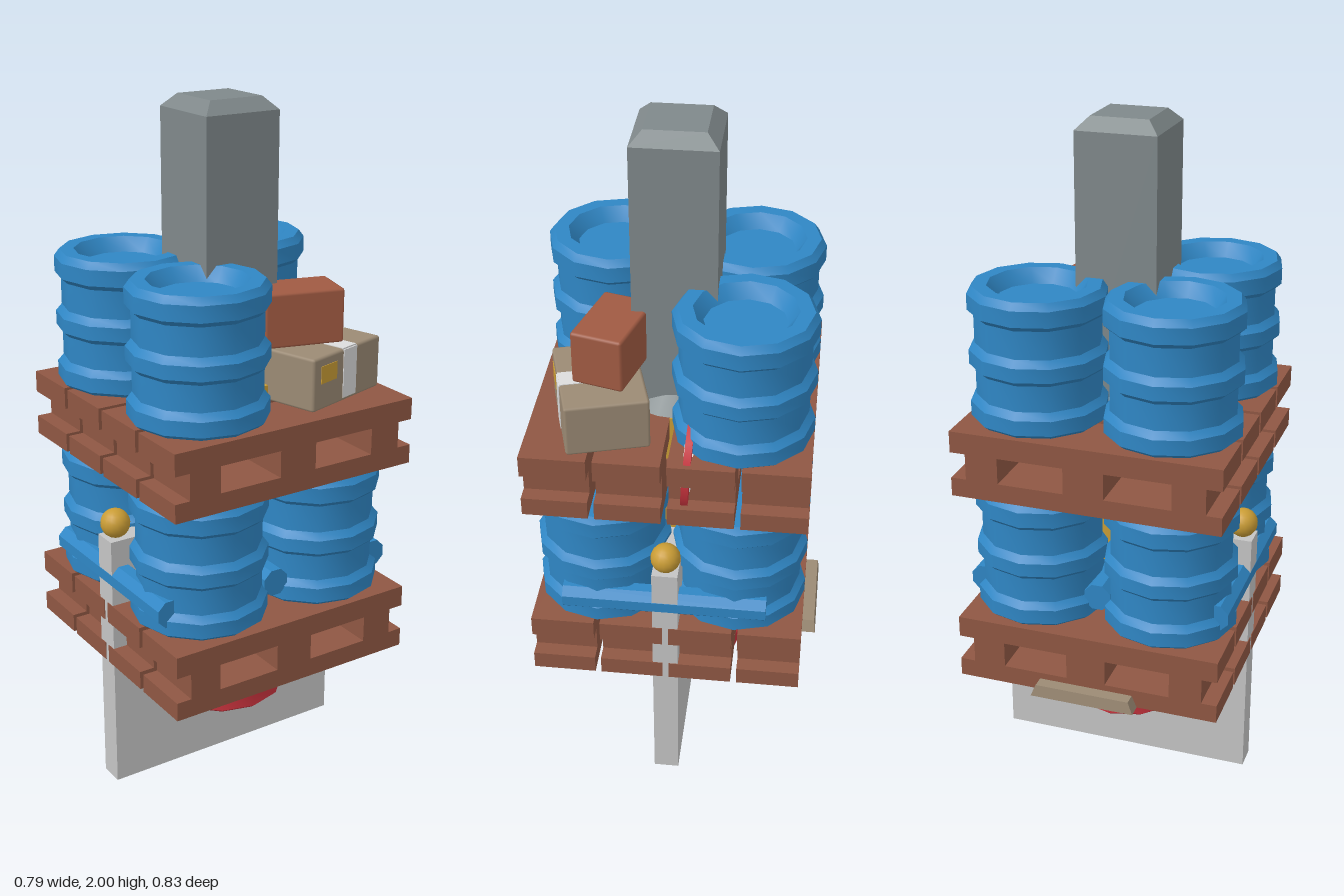
import * as THREE from 'three';
import { toCreasedNormals } from 'three/addons/utils/BufferGeometryUtils.js';
import { RoundedBoxGeometry } from 'three/addons/geometries/RoundedBoxGeometry.js';

const mat = (name, color) => {
  const m = new THREE.MeshStandardMaterial({ color });
  m.name = name;
  return m;
};

export function createModel() {
  const model = new THREE.Group();
  model.name = 'stackedPallets';
  const blue = mat('drum blue', 0x2f86c4);
  const wood = mat('pallet brown', 0x8f5743);
  const grey = mat('post grey', 0x7f888a);
  const pale = mat('panel pale grey', 0xc4c4c4);
  const red = mat('red', 0xc9333d);
  const yellow = mat('yellow', 0xc99c35);
  const taupe = mat('cardboard taupe', 0x9b8a74);
  const rust = mat('box rust', 0xa05a42);
  const white = mat('white', 0xdcdcdc);

  const MID = 0.018; // shared centre line in z
  const add = (name, geo, material, x, y, z, parent = model) => {
    const m = new THREE.Mesh(geo, material);
    m.name = name;
    m.position.set(x, y, z);
    parent.add(m);
    return m;
  };

  // Drums: twelve sides, three raised rings and a recessed lid
  const profile = [
    [0, 0], [0.18, 0], [0.195, 0.012], [0.195, 0.055], [0.178, 0.075],
    [0.178, 0.15], [0.195, 0.165], [0.195, 0.205], [0.178, 0.225],
    [0.178, 0.305], [0.195, 0.32], [0.195, 0.365], [0.18, 0.385],
    [0.14, 0.385], [0.112, 0.345], [0, 0.345],
  ].map(([r, y]) => new THREE.Vector2(r, y));
  const drumGeo = toCreasedNormals(new THREE.LatheGeometry(profile, 12), 0.6);
  for (const x of [-0.195, 0.195]) {
    for (const z of [-0.18, 0.215]) {
      add('lowerDrum', drumGeo, blue, x, 0.595, z);
      if (x < 0 || z < 0) add('upperDrum', drumGeo, blue, x, 1.182, z);
    }
  }
  add('redDrum', drumGeo, red, 0, 0.2, MID);

  // Pallets: four planks each, with fork holes and notched ends
  const outline = new THREE.Shape([
    [-0.39, 0], [0.39, 0], [0.39, 0.055], [0.345, 0.055], [0.345, 0.132], [0.39, 0.132],
    [0.39, 0.195], [-0.39, 0.195], [-0.39, 0.132], [-0.345, 0.132], [-0.345, 0.055], [-0.39, 0.055],
  ].map(([x, y]) => new THREE.Vector2(x, y)));
  for (const s of [-1, 1]) {
    outline.holes.push(new THREE.Path(
      [[0.058, 0.055], [0.058, 0.132], [0.25, 0.132], [0.25, 0.055]].map(([x, y]) => new THREE.Vector2(s * x, y))));
  }
  const plankGeo = new THREE.ExtrudeGeometry(outline, { depth: 0.183, bevelEnabled: false });
  for (const [name, y] of [['lowerPallet', 0.395], ['upperPallet', 0.985]]) {
    const pallet = new THREE.Group();
    pallet.name = name;
    model.add(pallet);
    for (let i = 0; i < 4; i++) add('plank', plankGeo, wood, 0, y, -0.375 + i * 0.2007, pallet);
  }

  // Central square post with a chamfered top and a round foot
  const square = (top, bottom, h) =>
    toCreasedNormals(new THREE.CylinderGeometry(top * Math.SQRT2, bottom * Math.SQRT2, h, 4).rotateY(Math.PI / 4), 0.5);
  add('post', square(0.116, 0.116, 0.785), grey, 0, 1.5725, MID);
  add('postCap', square(0.082, 0.116, 0.035), grey, 0, 1.9825, MID);
  add('postFoot', new THREE.CylinderGeometry(0.11, 0.165, 0.05, 24), grey, 0, 1.205, MID);

  // Yellow core between the drums
  add('core', new THREE.CylinderGeometry(0.17, 0.17, 0.45, 24), yellow, 0, 0.955, MID);
  add('coreTab', new THREE.BoxGeometry(0.05, 0.5, 0.09), yellow, 0.005, 0.98, 0.175);

  // Upright panel with round signs on both faces and knobs at its top corners
  add('panel', new THREE.BoxGeometry(0.776, 0.79, 0.074), pale, 0, 0.395, MID);
  for (const s of [-1, 1]) {
    const turn = s < 0 ? Math.PI : 0;
    add('signDisc', new THREE.CircleGeometry(0.265, 40), red, 0, 0.4, MID + s * 0.039).rotation.y = turn;
    add('signCentre', new THREE.CircleGeometry(0.17, 32), yellow, 0, 0.4, MID + s * 0.041).rotation.y = turn;
    add('knob', new THREE.SphereGeometry(0.043, 16, 12), yellow, s * 0.352, 0.83, MID);
  }

  // Blue rails running front to back
  const railGeo = toCreasedNormals(new THREE.CylinderGeometry(0.042, 0.042, 0.585, 8).rotateY(Math.PI / 8).rotateX(Math.PI / 2), 0.5);
  for (const x of [-0.35, 0, 0.35]) add('rail', railGeo, blue, x, 0.67, 0.022);

  // Cardboard box with tape and labels
  const carton = new THREE.Group();
  carton.name = 'carton';
  carton.position.set(0.193, 1.258, 0.213);
  carton.rotation.y = 0.28;
  model.add(carton);
  add('cartonBody', new RoundedBoxGeometry(0.305, 0.152, 0.23, 1, 0.008), taupe, 0, 0, 0, carton);
  add('tapeFront', new THREE.BoxGeometry(0.06, 0.14, 0.004), white, 0.01, 0.004, 0.115, carton);
  add('tapeTop', new THREE.BoxGeometry(0.06, 0.004, 0.07), white, 0.01, 0.076, 0.078, carton);
  add('label', new THREE.BoxGeometry(0.07, 0.05, 0.004), yellow, -0.085, 0.025, 0.115, carton);

  // Smaller box on top
  add('smallBox', new RoundedBoxGeometry(0.232, 0.155, 0.148, 1, 0.008), rust, 0.149, 1.412, 0.18).rotation.y = -0.26;

  // Flat slab poking out behind the lower pallet
  add('slab', square(0.14, 0.155, 0.036).scale(1, 1, 0.3), taupe, 0, 0.413, -0.369);

  // Round sign standing through the upper pallet
  const sign = new THREE.Group();
  sign.name = 'roundSign';
  sign.position.set(0.23, 1.115, -0.04);
  sign.rotation.x = -0.06;
  model.add(sign);
  add('signRim', new THREE.CylinderGeometry(0.16, 0.16, 0.02, 24).rotateX(Math.PI / 2), red, 0, 0, 0, sign);
  add('signFace', new THREE.CylinderGeometry(0.125, 0.125, 0.026, 24).rotateX(Math.PI / 2), white, 0, 0, 0, sign);

  return model;
}
